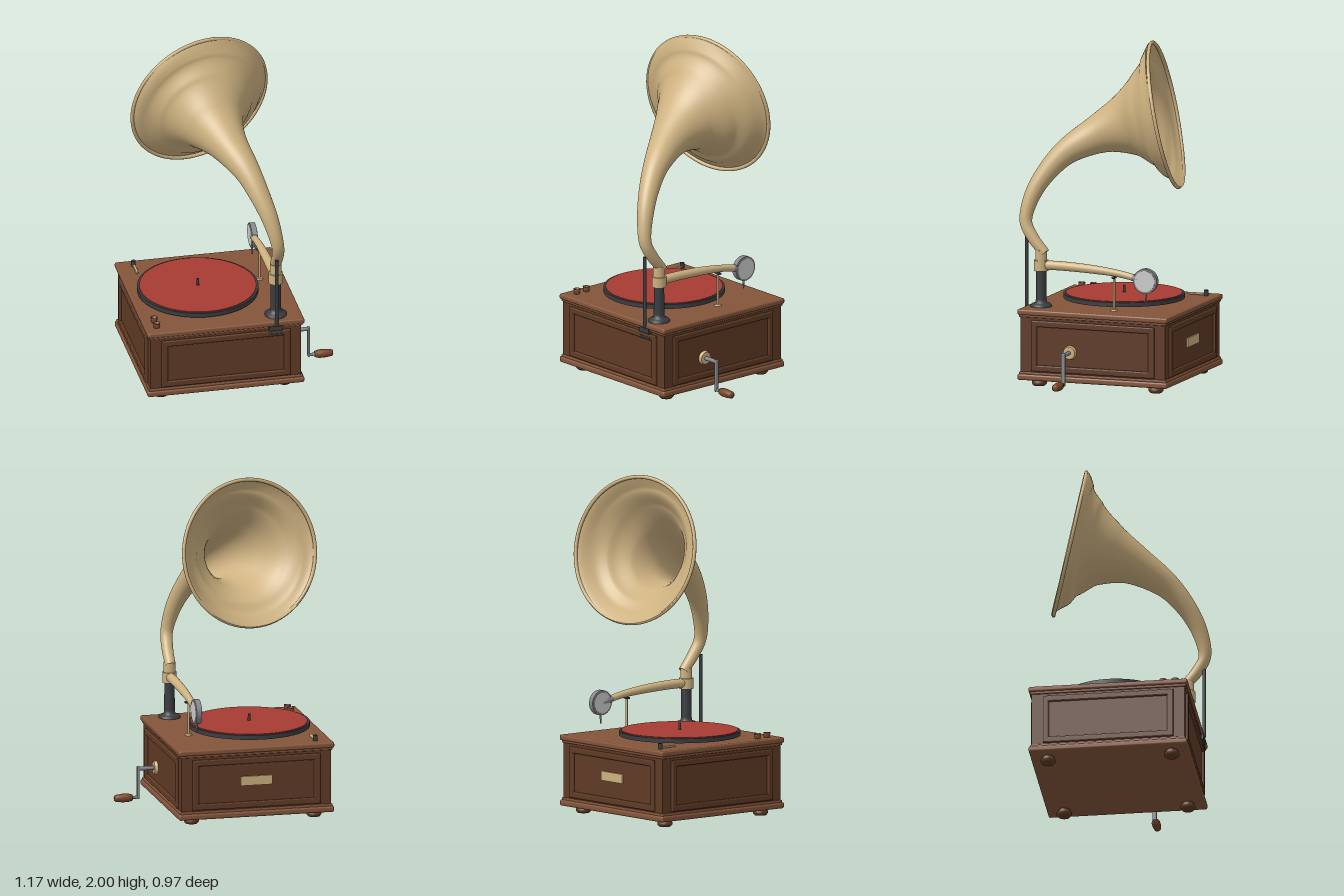
import * as THREE from 'three';
import { RoundedBoxGeometry } from 'three/addons/geometries/RoundedBoxGeometry.js';

const mat = (color) => new THREE.MeshStandardMaterial({ color });
const M = {
  trim: mat(0x84553a), wood: mat(0x5f3a25), handle: mat(0x7a4528), brass: mat(0xcdb180),
  dark: mat(0x3a3d40), steel: mat(0x85878c), silver: mat(0xc4c4c4), red: mat(0xa83c34),
};
const hornMat = new THREE.MeshStandardMaterial({ color: 0xcdb180, side: THREE.DoubleSide });

function add(parent, name, geometry, material, x = 0, y = 0, z = 0) {
  const mesh = new THREE.Mesh(geometry, material);
  mesh.name = name;
  mesh.position.set(x, y, z);
  parent.add(mesh);
  return mesh;
}
const box = (w, h, d) => new THREE.BoxGeometry(w, h, d);
const rbox = (w, h, d, r) => new RoundedBoxGeometry(w, h, d, 3, r);
const cyl = (r1, r2, h, n = 32) => new THREE.CylinderGeometry(r1, r2, h, n);
const lathe = (pts, n = 32) => new THREE.LatheGeometry(pts.map(([r, y]) => new THREE.Vector2(r, y)), n);

// Round tube of changing radius through stations [x, y, z, radius]
function sweep(stations, steps, sides) {
  const curve = (pts) => new THREE.CatmullRomCurve3(pts, false, 'catmullrom', 0.5);
  const path = curve(stations.map(([x, y, z]) => new THREE.Vector3(x, y, z)));
  const radii = curve(stations.map((s, i) => new THREE.Vector3(s[3], i, 0)));
  const pos = [], index = [];
  for (let i = 0; i <= steps; i++) {
    const c = path.getPoint(i / steps), t = path.getTangent(i / steps), r = radii.getPoint(i / steps).x;
    const u = new THREE.Vector3(1, 0, 0).addScaledVector(t, -t.x).normalize();
    const v = t.clone().cross(u);
    for (let j = 0; j < sides; j++) {
      const a = (j / sides) * Math.PI * 2;
      const p = c.clone().addScaledVector(u, r * Math.cos(a)).addScaledVector(v, r * Math.sin(a));
      pos.push(p.x, p.y, p.z);
      if (i < steps) {
        const k = i * sides, n = (j + 1) % sides;
        index.push(k + j, k + n, k + sides + j, k + n, k + sides + n, k + sides + j);
      }
    }
  }
  const g = new THREE.BufferGeometry();
  g.setAttribute('position', new THREE.Float32BufferAttribute(pos, 3));
  g.setIndex(index);
  g.computeVertexNormals();
  return g;
}

function rectPath(path, w, h) {
  path.moveTo(-w / 2, -h / 2);
  path.lineTo(w / 2, -h / 2);
  path.lineTo(w / 2, h / 2);
  path.lineTo(-w / 2, h / 2);
  path.closePath();
  return path;
}

function makeCabinet() {
  const g = new THREE.Group();
  g.name = 'cabinet';
  g.position.set(-0.118, 0, -0.024);
  add(g, 'body', box(0.896, 0.35, 0.896), M.wood, 0, 0.25, 0);
  add(g, 'baseMoulding', rbox(0.93, 0.036, 0.93, 0.012), M.trim, 0, 0.058, 0);
  add(g, 'baseStep', rbox(0.912, 0.018, 0.912, 0.006), M.trim, 0, 0.08, 0);
  add(g, 'topStep', rbox(0.912, 0.018, 0.912, 0.006), M.trim, 0, 0.419, 0);
  add(g, 'topBoard', rbox(0.93, 0.032, 0.93, 0.01), M.trim, 0, 0.44, 0);
  // Raised frame on each of the four sides
  const frame = rectPath(new THREE.Shape(), 0.75, 0.285);
  frame.holes.push(rectPath(new THREE.Path(), 0.705, 0.24));
  const frameGeo = new THREE.ExtrudeGeometry(frame, {
    depth: 0.006, bevelEnabled: true, bevelThickness: 0.007, bevelSize: 0.007, bevelSegments: 3,
  });
  for (let i = 0; i < 4; i++) {
    const side = new THREE.Group();
    side.name = 'sidePanel';
    side.rotation.y = (i * Math.PI) / 2;
    add(side, 'panelFrame', frameGeo, M.wood, 0, 0.245, 0.448);
    g.add(side);
  }
  add(g, 'backPlaque', box(0.19, 0.055, 0.012), M.brass, 0, 0.255, -0.451);
  const foot = lathe([[0, 0], [0.034, 0], [0.044, 0.012], [0.044, 0.024], [0.036, 0.032], [0.036, 0.045]]);
  for (const x of [-1, 1]) for (const z of [-1, 1]) add(g, 'foot', foot, M.wood, x * 0.367, 0, z * 0.362);
  return g;
}

function makeTurntable() {
  const g = new THREE.Group();
  g.name = 'turntable';
  g.position.set(-0.188, 0, -0.024);
  add(g, 'hub', cyl(0.06, 0.06, 0.025), M.dark, 0, 0.465, 0);
  add(g, 'platter', cyl(0.353, 0.353, 0.026, 64), M.dark, 0, 0.484, 0);
  add(g, 'feltMat', cyl(0.34, 0.34, 0.006, 64), M.red, 0, 0.499, 0);
  add(g, 'spindle', cyl(0.007, 0.009, 0.045, 16), M.dark, 0, 0.52, 0);
  return g;
}

function makeHorn() {
  const g = new THREE.Group();
  g.name = 'horn';
  const stations = [
    [0.195, 0.77, 0.325, 0.03], [0.195, 0.86, 0.4, 0.034], [0.185, 0.96, 0.446, 0.037],
    [0.15, 1.11, 0.413, 0.048], [0.1, 1.245, 0.337, 0.06], [0.045, 1.36, 0.23, 0.078],
    [-0.03, 1.455, 0.065, 0.118], [-0.078, 1.512, -0.085, 0.19], [-0.098, 1.545, -0.195, 0.285],
    [-0.109, 1.56, -0.257, 0.367], [-0.12, 1.572, -0.305, 0.43],
  ];
  add(g, 'bell', sweep(stations, 80, 64), hornMat);
  // Rolled edge of the bell
  const rim = add(g, 'rim', new THREE.TorusGeometry(0.427, 0.011, 10, 72), M.brass, -0.12, 1.572, -0.305);
  rim.quaternion.setFromUnitVectors(new THREE.Vector3(0, 0, 1), new THREE.Vector3(-0.224, 0.2, -0.954).normalize());
  return g;
}

function makeSupport() {
  const g = new THREE.Group();
  g.name = 'hornSupport';
  add(g, 'column', lathe([[0, 0.45], [0.064, 0.45], [0.064, 0.463], [0.052, 0.474], [0.034, 0.48],
    [0.031, 0.5], [0.03, 0.67]]), M.dark, 0.195, 0, 0.347);
  add(g, 'collar', cyl(0.042, 0.042, 0.062), M.brass, 0.195, 0.697, 0.347);
  add(g, 'sleeve', cyl(0.034, 0.034, 0.065), M.brass, 0.195, 0.755, 0.347);
  // Brace rod clamped to the front of the cabinet
  add(g, 'braceRod', cyl(0.01, 0.01, 0.43, 16), M.dark, 0.18, 0.645, 0.443);
  add(g, 'braceClamp', box(0.08, 0.03, 0.02), M.dark, 0.175, 0.413, 0.434);
  add(g, 'braceFoot', box(0.085, 0.012, 0.016), M.dark, 0.175, 0.37, 0.432);
  return g;
}

function makeToneArm() {
  const g = new THREE.Group();
  g.name = 'toneArm';
  g.position.x = 0.195;
  add(g, 'armTube', sweep([[0, 0.7, 0.33, 0.027], [0, 0.7, 0.2, 0.027], [0, 0.692, 0.03, 0.025],
    [0, 0.678, -0.12, 0.021], [0, 0.656, -0.24, 0.019]], 32, 24), hornMat);
  add(g, 'armJoint', sweep([[0, 0.66, -0.22, 0.021], [0, 0.65, -0.26, 0.021], [0, 0.642, -0.3, 0.017]], 8, 20), M.steel);
  // Sound box: a disc with a rim, facing sideways
  const disc = add(g, 'soundBox', cyl(0.073, 0.073, 0.032, 40), M.steel, 0.002, 0.643, -0.302);
  disc.rotation.z = -Math.PI / 2;
  const face = add(g, 'diaphragm', cyl(0.062, 0.062, 0.038, 40), M.silver, 0.002, 0.643, -0.302);
  face.rotation.z = -Math.PI / 2;
  add(g, 'needle', cyl(0.007, 0.004, 0.06, 12), M.steel, 0, 0.55, -0.302);
  // Rest under the arm
  add(g, 'restPost', cyl(0.007, 0.007, 0.2, 16), M.brass, 0, 0.555, -0.105);
  add(g, 'restBase', cyl(0.018, 0.022, 0.012, 24), M.brass, 0, 0.46, -0.105);
  add(g, 'restCradle', rbox(0.045, 0.012, 0.02, 0.004), M.dark, 0, 0.653, -0.105);
  return g;
}

function makeCrank() {
  const g = new THREE.Group();
  g.name = 'crank';
  g.position.z = 0.118;
  const alongX = (name, geo, m, x, y) => { add(g, name, geo, m, x, y, 0).rotation.z = -Math.PI / 2; };
  alongX('escutcheon', cyl(0.036, 0.042, 0.02), M.brass, 0.338, 0.217);
  alongX('shaft', cyl(0.012, 0.012, 0.11, 16), M.steel, 0.39, 0.217);
  add(g, 'crankArm', rbox(0.014, 0.195, 0.026, 0.006), M.steel, 0.44, 0.134, 0);
  alongX('handlePin', cyl(0.009, 0.009, 0.06, 16), M.steel, 0.465, 0.047);
  alongX('grip', lathe([[0, 0], [0.018, 0], [0.025, 0.025], [0.025, 0.06], [0.02, 0.1], [0.014, 0.107], [0, 0.107]], 24),
    M.handle, 0.476, 0.047);
  return g;
}

function makeControls() {
  const g = new THREE.Group();
  g.name = 'controls';
  // Needle cups at the front, brake lever at the back
  const cup = lathe([[0, 0], [0.017, 0], [0.021, 0.03], [0.017, 0.03], [0.013, 0.012], [0, 0.012]]);
  for (const z of [0.29, 0.362]) add(g, 'needleCup', cup, M.trim, -0.515, 0.455, z);
  add(g, 'brakeLever', rbox(0.016, 0.012, 0.115, 0.004), M.brass, -0.485, 0.465, -0.365);
  add(g, 'brakeKnob', cyl(0.013, 0.013, 0.035, 20), M.dark, -0.485, 0.472, -0.42);
  return g;
}

export function createModel() {
  const model = new THREE.Group();
  model.name = 'gramophone';
  model.add(makeCabinet(), makeTurntable(), makeHorn(), makeSupport(), makeToneArm(), makeCrank(), makeControls());
  return model;
}
